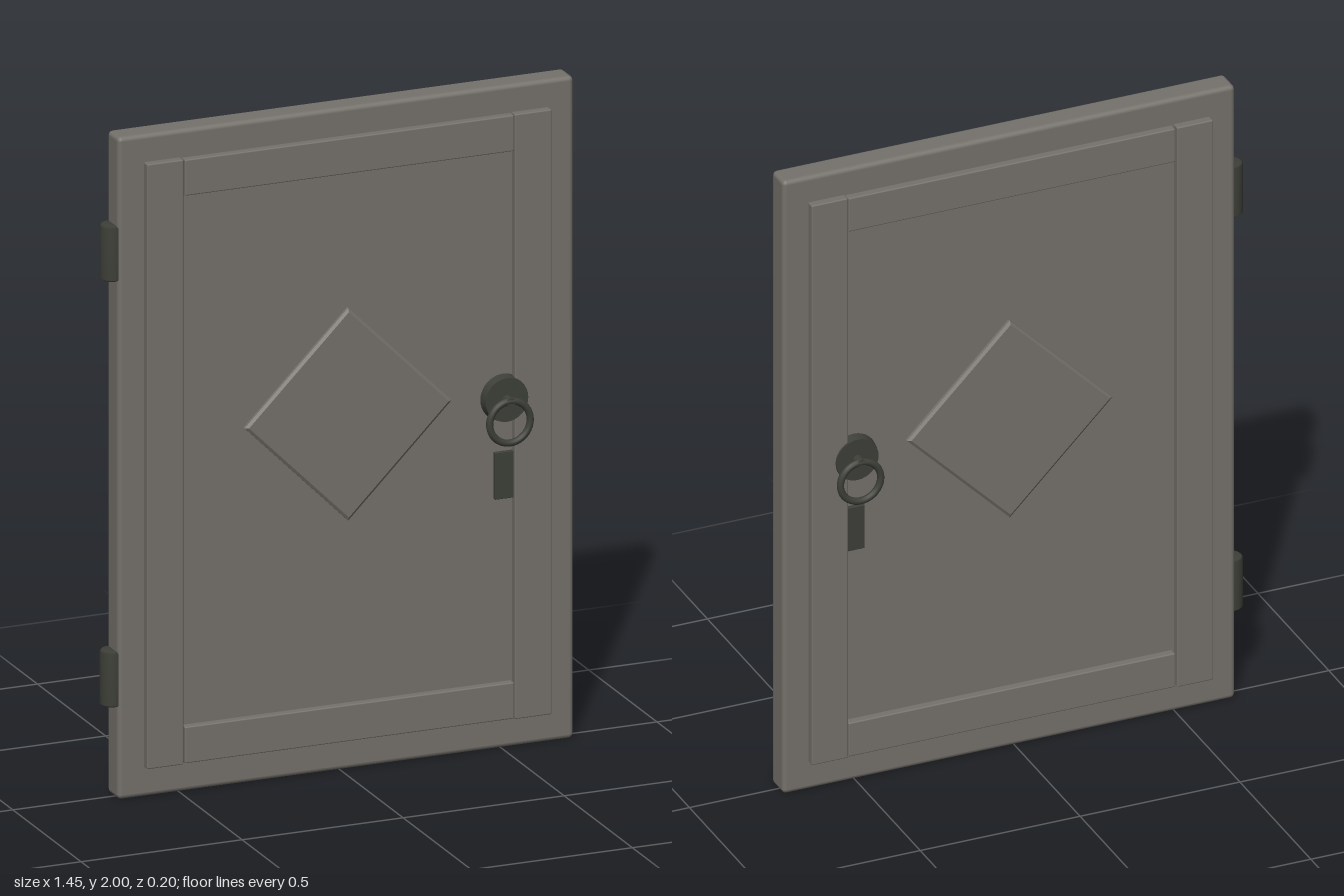
import * as THREE from 'three';
import { RoundedBoxGeometry } from 'three/addons/geometries/RoundedBoxGeometry.js';

export function createModel() {
  const door = new THREE.Group();
  door.name = 'door';
  const wood = new THREE.MeshStandardMaterial({ name: 'weatheredWood', color: 0x75716b });
  const iron = new THREE.MeshStandardMaterial({ name: 'darkIron', color: 0x3d3f38 });

  const add = (parent, name, geometry, material, x, y, z) => {
    const mesh = new THREE.Mesh(geometry, material);
    mesh.name = name;
    mesh.position.set(x, y, z);
    parent.add(mesh);
    return mesh;
  };
  // Softened box given by its limits
  const box = (parent, name, material, x0, x1, y0, y1, z0, z1, r) =>
    add(parent, name, new RoundedBoxGeometry(x1 - x0, y1 - y0, z1 - z0, 2, r), material,
      (x0 + x1) / 2, (y0 + y1) / 2, (z0 + z1) / 2);

  // Main slab
  box(door, 'slab', wood, -0.69, 0.725, 0, 2, -0.041, 0.041, 0.014);

  // Raised trim, diamond and hardware, the same on both faces
  for (const side of [1, -1]) {
    const face = new THREE.Group();
    face.name = side > 0 ? 'frontFace' : 'backFace';
    door.add(face);
    const slat = (name, x0, x1, y0, y1, depth) => {
      const z = [side * 0.02, side * depth].sort((a, b) => a - b);
      return box(face, name, wood, x0, x1, y0, y1, z[0], z[1], 0.004);
    };
    slat('hingeStile', -0.61, -0.497, 0.09, 1.917, 0.065);
    slat('latchStile', 0.532, 0.646, 0.09, 1.917, 0.065);
    slat('topRail', -0.492, 0.53, 1.806, 1.915, 0.064);
    slat('bottomRail', -0.492, 0.53, 0.092, 0.202, 0.064);

    // Diamond panel with bevelled rim
    const h = 0.31;
    const shape = new THREE.Shape([[h, 0], [0, h], [-h, 0], [0, -h]].map(p => new THREE.Vector2(...p)));
    const diamondGeometry = new THREE.ExtrudeGeometry(shape, {
      depth: 0.012, bevelEnabled: true, bevelThickness: 0.006, bevelSize: 0.008, bevelSegments: 1,
    });
    const diamond = add(face, 'diamondPanel', diamondGeometry, wood, 0.02, 1.075, side * 0.038);
    if (side < 0) diamond.rotation.y = Math.PI;

    // Ring handle on a round plate
    const plate = add(face, 'handlePlate', new THREE.CylinderGeometry(0.066, 0.071, 0.03, 32), iron,
      0.505, 1.06, side * 0.055);
    plate.rotation.x = side * Math.PI / 2;
    const stub = add(face, 'handleStub', new THREE.CylinderGeometry(0.014, 0.016, 0.04, 16), iron,
      0.505, 1.06, side * 0.08);
    stub.rotation.x = side * Math.PI / 2;
    add(face, 'ringHandle', new THREE.TorusGeometry(0.063, 0.0105, 12, 40), iron, 0.505, 1.0, side * 0.091);

    // Lock plate
    box(face, 'lockPlate', iron, 0.475, 0.535, 0.756, 0.898, side * 0.046 - 0.006, side * 0.046 + 0.006, 0.002);
  }

  // Hinge barrels with chamfered ends
  const profile = [[0, -0.083], [0.031, -0.083], [0.036, -0.078], [0.036, 0.078], [0.031, 0.083], [0, 0.083]];
  const barrel = new THREE.LatheGeometry(profile.map(p => new THREE.Vector2(...p)), 24);
  add(door, 'lowerHinge', barrel, iron, -0.692, 0.362, 0);
  add(door, 'upperHinge', barrel, iron, -0.692, 1.647, 0);

  return door;
}
